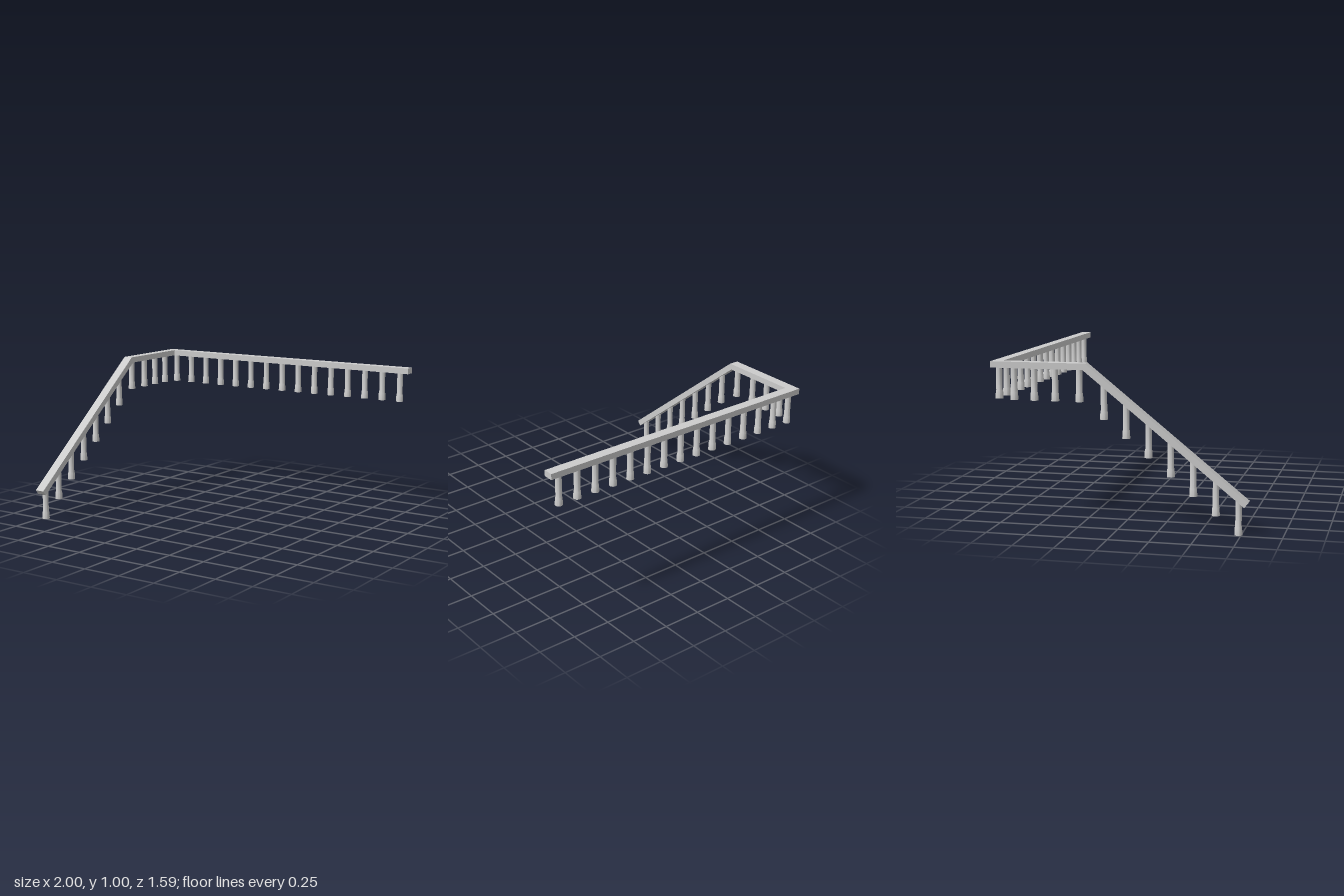
import * as THREE from 'three';
import { toCreasedNormals } from 'three/addons/utils/BufferGeometryUtils.js';

export function createModel() {
  const model = new THREE.Group();
  model.name = 'stairRailing';
  const material = new THREE.MeshStandardMaterial({ color: 0xcccccc });
  const railWidth = 0.065, railTop = 1.003, railBottom = 0.964;

  const add = (parent, name, geometry, x, y, z) => {
    const mesh = new THREE.Mesh(geometry, material);
    mesh.name = name;
    mesh.position.set(x, y, z);
    parent.add(mesh);
  };

  // Sloping handrail with its level return: side profile in (z, y), extruded across x
  const profile = new THREE.Shape([
    [0.795, 0.203], [0.77, 0.172], [-0.213, railBottom],
    [-0.73, railBottom], [-0.73, railTop], [-0.199, railTop],
  ].map(([z, y]) => new THREE.Vector2(z, y)));
  const sideRail = new THREE.ExtrudeGeometry(profile, { depth: railWidth, bevelEnabled: false });
  sideRail.rotateY(-Math.PI / 2);
  add(model, 'sideHandrail', sideRail, -1 + railWidth, 0, 0);

  // Long level handrail along the back
  add(model, 'backHandrail', new THREE.BoxGeometry(2, railTop - railBottom, railWidth),
    0, (railTop + railBottom) / 2, -0.7625);

  // Turned baluster with a thicker foot, its top buried in the rail
  const balusterGeometry = toCreasedNormals(new THREE.LatheGeometry([
    [0, 0], [0.0245, 0], [0.0225, 0.046], [0.0195, 0.054], [0.0195, 0.212], [0, 0.212],
  ].map(([r, y]) => new THREE.Vector2(r, y)), 20), 0.5);

  const balusters = (name) => {
    const group = new THREE.Group();
    group.name = name;
    model.add(group);
    return group;
  };

  const slope = balusters('slopeBalusters');
  for (let i = 0; i < 7; i++) {
    add(slope, 'baluster', balusterGeometry, -0.97, 0.111 * i, 0.733 - 0.137 * i);
  }

  const landing = balusters('landingBalusters');
  for (const z of [-0.242, -0.394, -0.526, -0.654]) {
    add(landing, 'baluster', balusterGeometry, -0.97, 0.768, z);
  }

  const back = balusters('backBalusters');
  for (let i = 0; i < 15; i++) {
    add(back, 'baluster', balusterGeometry, 0.928 - 0.133 * i, 0.768, -0.7625);
  }

  return model;
}
